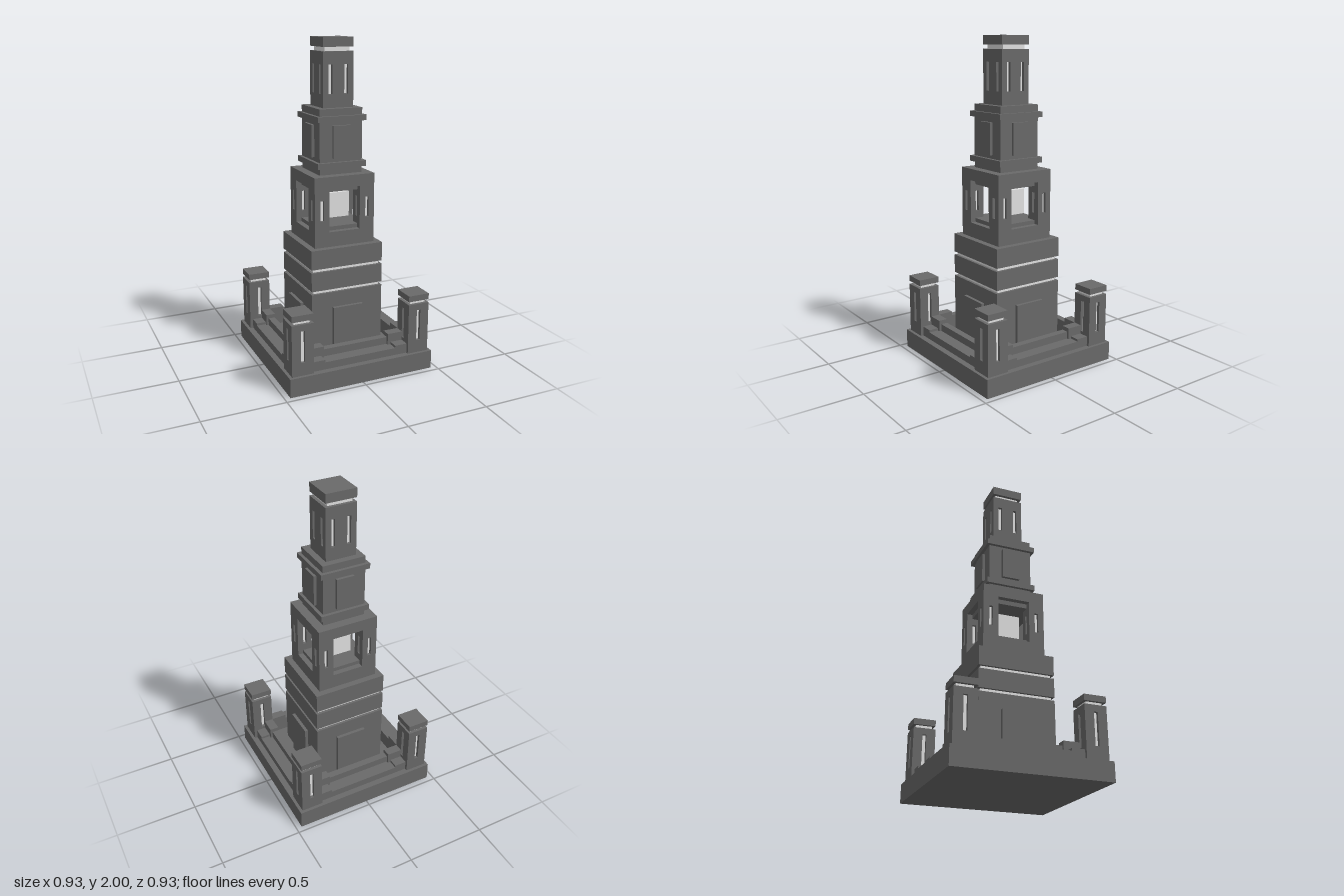
import * as THREE from 'three';

const stone = new THREE.MeshStandardMaterial({ color: 0x6a6a6a });
stone.name = 'dark stone';
const glow = new THREE.MeshStandardMaterial({ color: 0xe2e2e2 });
glow.name = 'pale light';

// Box given by its limits
function box(parent, name, x0, x1, y0, y1, z0, z1, mat = stone) {
  const m = new THREE.Mesh(new THREE.BoxGeometry(x1 - x0, y1 - y0, z1 - z0), mat);
  m.position.set((x0 + x1) / 2, (y0 + y1) / 2, (z0 + z1) / 2);
  m.name = name;
  parent.add(m);
  return m;
}

// Square block centred on the vertical axis
function block(parent, name, half, y0, y1, mat = stone) {
  return box(parent, name, -half, half, y0, y1, -half, half, mat);
}

// Runs a builder once for each of the four sides
function fourSides(parent, name, build) {
  for (let i = 0; i < 4; i++) {
    const side = new THREE.Group();
    side.name = name;
    side.rotation.y = i * Math.PI / 2;
    build(side, i);
    parent.add(side);
  }
}

// Hollow square shaft with narrow slits on each side and a pale core behind them
function slitShaft(name, half, y0, y1, slitXs, slitHalf, s0, s1, t = 0.018) {
  const g = new THREE.Group();
  g.name = name;
  fourSides(g, 'slitWall', (side, i) => {
    const w = i % 2 ? half - t : half;
    const shape = new THREE.Shape([[-w, y0], [w, y0], [w, y1], [-w, y1]].map(p => new THREE.Vector2(...p)));
    for (const x of slitXs) {
      const a = x - slitHalf, b = x + slitHalf;
      shape.holes.push(new THREE.Path([[a, s0], [a, s1], [b, s1], [b, s0]].map(p => new THREE.Vector2(...p))));
    }
    const wall = new THREE.Mesh(new THREE.ExtrudeGeometry(shape, { depth: t, bevelEnabled: false }), stone);
    wall.position.z = half - t;
    wall.name = 'wall';
    side.add(wall);
  });
  block(g, 'shaftCore', half - t, s0 - 0.01, s1 + 0.01, glow);
  block(g, 'shaftTop', half - t, y1 - 0.02, y1);
  block(g, 'shaftBottom', half - t, y0, y0 + 0.02);
  return g;
}

export function createModel() {
  const model = new THREE.Group();
  model.name = 'tower';

  block(model, 'plinth', 0.465, 0, 0.115);

  // Corner posts with pale necks and caps
  for (const sx of [-1, 1]) for (const sz of [-1, 1]) {
    const post = slitShaft('cornerPost', 0.068, 0.115, 0.43, [0], 0.012, 0.195, 0.39);
    block(post, 'postNeck', 0.05, 0.43, 0.45, glow);
    block(post, 'postCap', 0.068, 0.45, 0.487);
    post.position.set(sx * 0.378, 0, sz * 0.378);
    model.add(post);
  }

  // Stepped rails between the posts
  fourSides(model, 'steppedRail', side => {
    box(side, 'outerStep', -0.232, 0.232, 0.115, 0.16, 0.353, 0.428);
    box(side, 'innerStep', -0.213, 0.213, 0.115, 0.205, 0.31, 0.353);
    for (const s of [-1, 1]) {
      const a = s < 0 ? -0.31 : 0.232, b = s < 0 ? -0.232 : 0.31;
      box(side, 'outerEndBlock', a, b, 0.115, 0.175, 0.36, 0.428);
      const c = s < 0 ? -0.31 : 0.213, d = s < 0 ? -0.213 : 0.31;
      box(side, 'innerEndBlock', c, d, 0.115, 0.23, 0.31, 0.367);
    }
  });

  // Lower body, with door panels and pale gaps
  block(model, 'lowerBody', 0.233, 0.115, 0.505);
  fourSides(model, 'doorPanel', side => box(side, 'door', -0.097, 0.097, 0.115, 0.41, 0.23, 0.253));
  block(model, 'lowerGap', 0.217, 0.505, 0.525, glow);
  block(model, 'lowerBand', 0.233, 0.525, 0.641);
  block(model, 'upperGap', 0.217, 0.641, 0.661, glow);
  block(model, 'upperBand', 0.233, 0.661, 0.779);

  // Open lantern room
  block(model, 'lanternFloor', 0.194, 0.779, 0.87);
  block(model, 'lanternSill', 0.16, 0.87, 0.894);
  block(model, 'lanternLintel', 0.16, 1.107, 1.135);
  block(model, 'lanternRoof', 0.194, 1.135, 1.206);
  for (const sx of [-1, 1]) for (const sz of [-1, 1]) {
    const pillar = slitShaft('lanternPillar', 0.0475, 0.87, 1.135, [0], 0.011, 0.94, 1.065);
    pillar.position.set(sx * 0.1465, 0, sz * 0.1465);
    model.add(pillar);
  }
  block(model, 'lanternLight', 0.08, 0.926, 1.08, glow);

  // Panelled stage
  block(model, 'panelStage', 0.137, 1.206, 1.595);
  block(model, 'stageLowerMoulding', 0.157, 1.245, 1.28);
  block(model, 'stageUpperMoulding', 0.157, 1.52, 1.553);
  fourSides(model, 'stagePanel', side => box(side, 'panel', -0.056, 0.056, 1.303, 1.497, 0.13, 0.155));

  // Top shaft with neck and cap
  model.add(slitShaft('topShaft', 0.097, 1.595, 1.92, [-0.05, 0.05], 0.012, 1.675, 1.845));
  block(model, 'topNeck', 0.078, 1.92, 1.945, glow);
  block(model, 'topCap', 0.097, 1.945, 2);

  return model;
}
